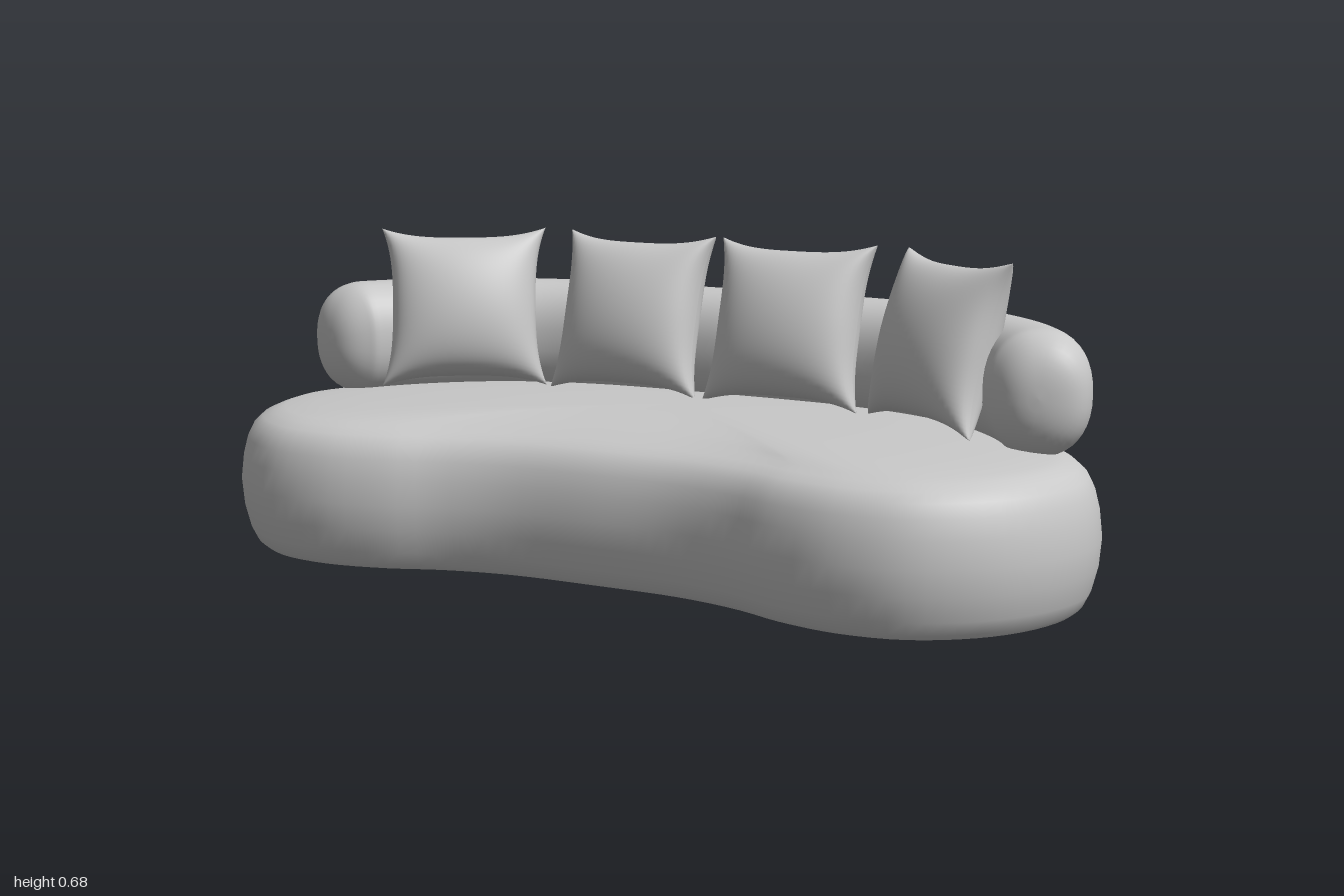
import * as THREE from 'three';
import { mergeGeometries } from 'three/addons/utils/BufferGeometryUtils.js';

const UP = new THREE.Vector3(0, 1, 0);

// Smooth skin over a list of closed rings with equal point counts
function loft(rings) {
  const n = rings[0].length;
  const index = [];
  for (let i = 0; i < rings.length - 1; i++) {
    for (let j = 0; j < n; j++) {
      const k = (j + 1) % n;
      const a = i * n + j, b = i * n + k, c = a + n, d = b + n;
      index.push(a, b, d, a, d, c);
    }
  }
  const geometry = new THREE.BufferGeometry().setFromPoints(rings.flat());
  geometry.setIndex(index);
  geometry.computeVertexNormals();
  return geometry;
}

// Mirrors a half path of [x, z] points running from x = 0 to x = 0
const toPoints = (list, y) => list.map(([x, z]) => new THREE.Vector3(x, y, z));

// Kidney-shaped seat: an outline inset and raised along a soft profile
function seatRings() {
  const half = [[0.2, 0.353], [0.34, 0.383], [0.46, 0.43], [0.61, 0.458], [0.76, 0.435], [0.89, 0.345],
    [0.97, 0.22], [1, 0.07], [0.965, -0.07], [0.86, -0.225], [0.68, -0.365], [0.48, -0.437], [0.24, -0.46]];
  const mirrored = half.map(([x, z]) => [-x, z]).reverse();
  const curve = new THREE.CatmullRomCurve3(
    toPoints([[0, 0.348], ...half, [0, -0.462], ...mirrored], 0), true, 'centripetal');
  const n = 128;
  const ring = (inset, y, scale = 1) => Array.from({ length: n }, (_, j) => {
    const p = curve.getPointAt(j / n);
    const out = curve.getTangentAt(j / n).cross(UP).normalize();
    p.addScaledVector(out, -inset);
    return new THREE.Vector3(p.x * scale, y, (p.z + 0.05) * scale - 0.05);
  });
  const sides = [[0.047, 0], [0.032, 0.012], [0.018, 0.04], [0.005, 0.09], [0, 0.145], [0.006, 0.2],
    [0.016, 0.24], [0.03, 0.268], [0.05, 0.286], [0.075, 0.297], [0.1, 0.305]];
  const top = [[0.92, 0.313], [0.8, 0.321], [0.6, 0.329], [0.35, 0.333], [0, 0.334]];
  return {
    body: [...sides.map(([d, y]) => ring(d, y)), ...top.map(([s, y]) => ring(0.1, y, s))],
    underside: [ring(0.047, 0, 0), ring(0.047, 0)],
  };
}

// Curved back roll with rounded ends
function rollGeometry() {
  const half = [[0.3, -0.328], [0.5, -0.295], [0.67, -0.215], [0.79, -0.105], [0.846, -0.02], [0.868, 0.045]];
  const mirrored = half.map(([x, z]) => [-x, z]).reverse();
  const curve = new THREE.CatmullRomCurve3(
    toPoints([...mirrored, [0, -0.332], ...half], 0.425), false, 'centripetal');
  const length = curve.getLength();
  const cap = 0.1, capSteps = 12, midSteps = 80;
  const stops = [];
  for (let i = 0; i <= capSteps; i++) stops.push(cap * (1 - Math.cos((i / capSteps) * Math.PI / 2)));
  const ends = stops.map((s) => length - s).reverse();
  for (let i = 1; i < midSteps; i++) stops.push(cap + (i / midSteps) * (length - 2 * cap));
  stops.push(...ends);

  const soft = (v) => Math.sign(v) * Math.abs(v) ** 0.88;
  const rings = stops.map((s) => {
    const u = THREE.MathUtils.clamp(s / length, 0, 1);
    const near = Math.min(1, Math.min(s, length - s) / cap);
    const size = Math.max(0, 1 - (1 - near) ** 2.4) ** (1 / 2.4);
    const centre = curve.getPointAt(u);
    const side = curve.getTangentAt(u).cross(UP).normalize();
    return Array.from({ length: 40 }, (_, j) => {
      const t = (j / 40) * Math.PI * 2;
      return centre.clone()
        .addScaledVector(side, 0.108 * size * soft(Math.cos(t)))
        .addScaledVector(UP, -0.13 * size * soft(Math.sin(t)));
    });
  });
  return loft(rings);
}

// Plump square cushion with pinched edges and pointed corners
function cushionGeometry() {
  const face = new THREE.PlaneGeometry(2, 2, 32, 32);
  const pos = face.attributes.position;
  for (let i = 0; i < pos.count; i++) {
    const u = Math.sin(pos.getX(i) * Math.PI / 2);
    const v = Math.sin(pos.getY(i) * Math.PI / 2);
    const puff = Math.max(0, (1 - u * u) * (1 - v * v)) ** 0.42;
    const x = 0.188 * u * (1 - 0.13 * (1 - Math.abs(v) ** 3));
    const y = 0.183 * v * (1 - 0.13 * (1 - Math.abs(u) ** 3));
    pos.setXYZ(i, x, y, 0.092 * puff);
  }
  face.computeVertexNormals();
  return mergeGeometries([face, face.clone().rotateY(Math.PI)]);
}

export function createModel() {
  const model = new THREE.Group();
  model.name = 'curvedSofa';
  const fabric = new THREE.MeshStandardMaterial({ color: 0xc8c8c8 });
  fabric.name = 'greyFabric';

  const add = (name, geometry) => {
    const mesh = new THREE.Mesh(geometry, fabric);
    mesh.name = name;
    model.add(mesh);
    return mesh;
  };

  const seat = seatRings();
  add('seat', loft(seat.body));
  add('seatUnderside', loft(seat.underside));
  add('backRoll', rollGeometry());

  // Four cushions leaning on the back, the outer pair turned inwards
  const cushion = cushionGeometry();
  for (const side of [-1, 1]) {
    const label = side > 0 ? 'left' : 'right';
    const places = [['InnerCushion', 0.197, -0.193, 0], ['OuterCushion', 0.59, -0.1, -0.57]];
    for (const [name, x, z, turn] of places) {
      const mesh = add(label + name, cushion);
      mesh.position.set(side * x, 0.505, z);
      mesh.rotation.set(-0.27, side * turn, 0, 'YXZ');
    }
  }
  return model;
}
